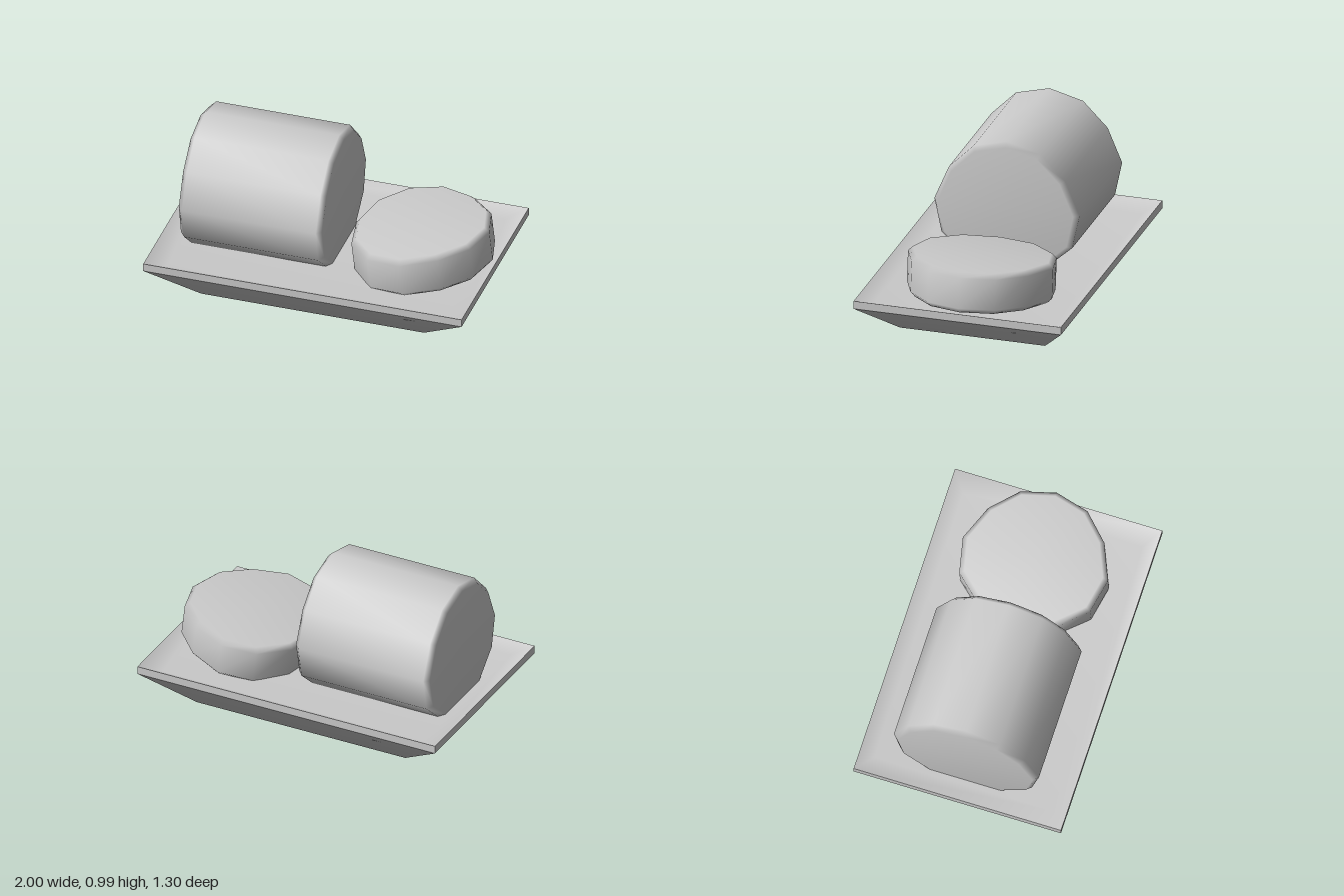
import * as THREE from 'three';

// Skins a stack of equal-length loops (points are [x, y, z]) and caps the chosen ends, sharing vertices for smooth normals.
function loft(rings, { bottom = false, top = false }) {
  const n = rings[0].length;
  const last = (rings.length - 1) * n;
  const positions = rings.flat(2);
  const index = [];
  for (let r = 0; r < rings.length - 1; r++) {
    for (let i = 0; i < n; i++) {
      const a = r * n + i, b = r * n + (i + 1) % n;
      index.push(a, a + n, b, b, a + n, b + n);
    }
  }
  const centre = rings.length * n;
  positions.push(0, rings[0][0][1], 0, 0, rings[rings.length - 1][0][1], 0);
  for (let i = 0; i < n; i++) {
    const j = (i + 1) % n;
    if (bottom) index.push(centre, i, j);
    if (top) index.push(centre + 1, last + j, last + i);
  }
  const geometry = new THREE.BufferGeometry();
  geometry.setAttribute('position', new THREE.Float32BufferAttribute(positions, 3));
  geometry.setIndex(index);
  geometry.computeVertexNormals();
  return geometry;
}

// Half of the twelve-sided, slightly egg-shaped outline shared by roll and slice; the rest is mirrored.
const half = [[0.425, 0], [0.37, 0.21], [0.215, 0.364], [0, 0.455], [-0.215, 0.41], [-0.37, 0.237], [-0.417, 0]];
const outline = [...half, ...half.slice(1, -1).reverse().map(([x, z]) => [x, -z])];

// Bevelled drum along y with the shared outline.
function drum(length, bevel = 0.03) {
  const inset = 1 - bevel / 0.44;
  const h = length / 2;
  const levels = [[-h, inset], [-h + bevel, 1], [h - bevel, 1], [h, inset]];
  const rings = levels.map(([y, s]) => outline.map(([x, z]) => [x * s, y, z * s]));
  return loft(rings, { bottom: true, top: true });
}

const rectangle = (x, y, z) => [[x, y, -z], [x, y, z], [-x, y, z], [-x, y, -z]];

export function createModel() {
  const group = new THREE.Group();
  const material = new THREE.MeshStandardMaterial({ color: 0xcccccc });
  const flat = new THREE.MeshStandardMaterial({ color: 0xcccccc, flatShading: true });
  const add = (name, geometry, x = 0, y = 0, tilt = 0, surface = material) => {
    const mesh = new THREE.Mesh(geometry, surface);
    mesh.name = name;
    mesh.position.set(x, y, 0);
    mesh.rotation.z = tilt;
    group.add(mesh);
  };

  // Tray: tapering base, upright rim and a shallow sunken floor
  const foot = rectangle(0.7, 0, 0.455);
  const rimLow = rectangle(1, 0.22, 0.65);
  const rimTop = rectangle(1, 0.27, 0.65);
  const floor = rectangle(0.88, 0.22, 0.56);
  add('trayBase', loft([foot, rimLow], { bottom: true }));
  add('trayRim', loft([rimLow, rimTop], {}), 0, 0, 0, flat);
  add('trayFloor', loft([rimTop, floor], { top: true }));

  // Roll lying on its side, sunk into the tray
  add('roll', drum(0.9), -0.4, 0.565, Math.PI / 2);

  // Cut slice leaning slightly beside it
  add('slice', drum(0.25), 0.552, 0.344, 0.117);

  return group;
}
